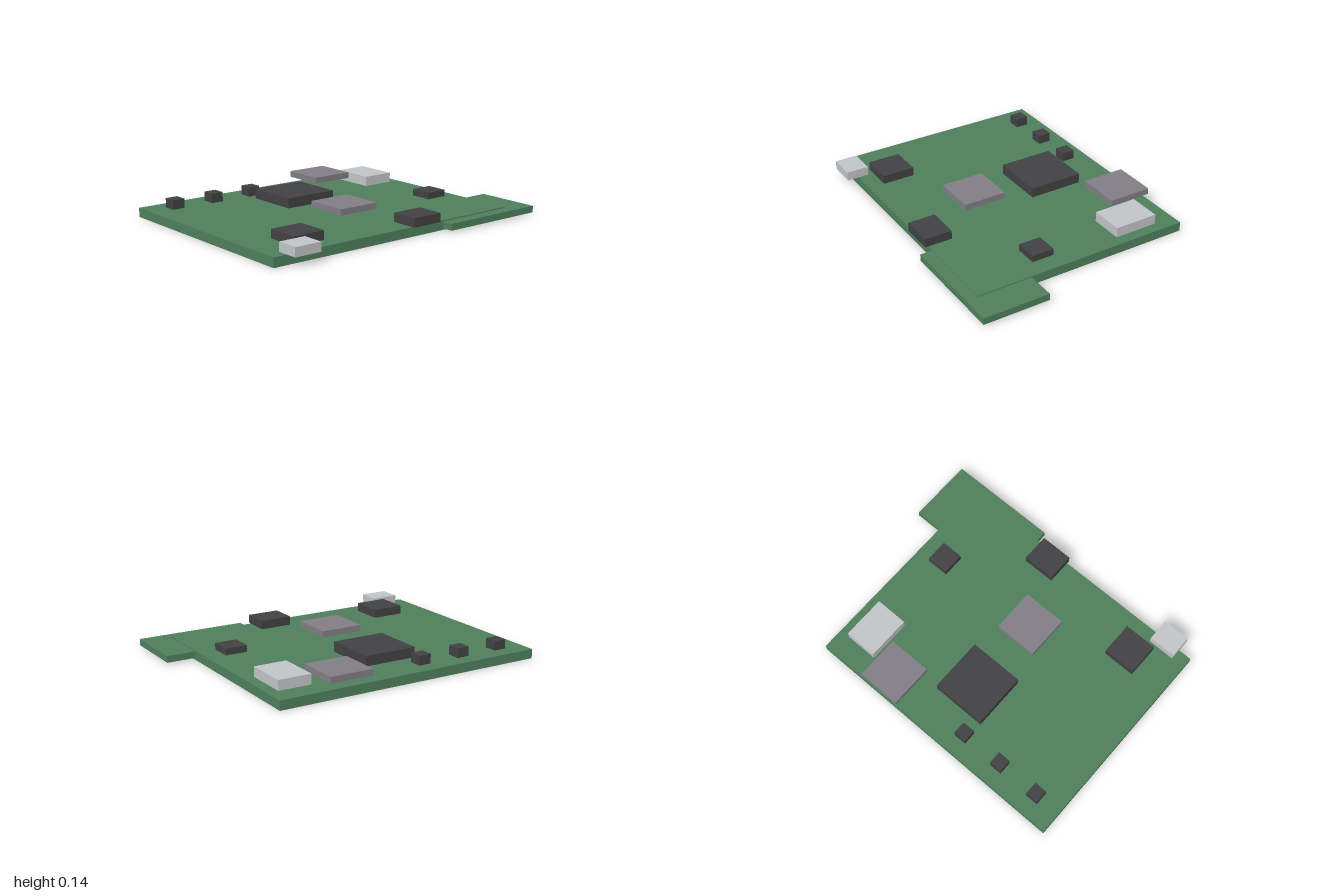
import * as THREE from 'three';

const material = (name, color) => {
  const m = new THREE.MeshStandardMaterial({ color });
  m.name = name;
  return m;
};

export function createModel() {
  const green = material('boardGreen', 0x4e7f5c);
  const black = material('chipBlack', 0x414042);
  const grey = material('shieldGrey', 0x807d84);
  const silver = material('connectorSilver', 0xc2c3c6);

  const model = new THREE.Group();
  model.name = 'circuitBoard';

  // Box given by its extents along each axis
  const block = (name, mat, [x0, x1], [y0, y1], [z0, z1]) => {
    const mesh = new THREE.Mesh(new THREE.BoxGeometry(x1 - x0, y1 - y0, z1 - z0), mat);
    mesh.position.set((x0 + x1) / 2, (y0 + y1) / 2, (z0 + z1) / 2);
    mesh.name = name;
    model.add(mesh);
  };

  // Main board and the thinner card reaching out of its front left corner
  block('mainBoard', green, [-1, 0.813], [0, 0.06], [-0.763, 0.685]);
  block('sideCard', green, [0.27, 1], [0.01, 0.053], [0.326, 0.76]);

  // Processor and secondary chips
  block('processor', black, [-0.275, 0.085], [0.06, 0.125], [-0.51, -0.15]);
  block('rightChip', black, [-0.782, -0.566], [0.06, 0.117], [0.362, 0.577]);
  block('frontChip', black, [0.015, 0.23], [0.06, 0.117], [0.522, 0.704]);
  block('leftChip', black, [0.56, 0.706], [0.068, 0.111], [0.105, 0.252]);

  // Row of small components along the back edge
  for (const x of [-0.82, -0.53, -0.241]) {
    block('smallComponent', black, [x - 0.042, x + 0.042], [0.06, 0.121], [-0.664, -0.578]);
  }

  // Raised metal shields
  block('centreShield', grey, [-0.236, 0.05], [0.098, 0.138], [0.037, 0.323]);
  block('backShield', grey, [0.199, 0.487], [0.098, 0.138], [-0.763, -0.476]);

  // Edge connectors
  block('largeConnector', silver, [0.525, 0.742], [0.06, 0.125], [-0.62, -0.33]);
  block('smallConnector', silver, [-0.91, -0.73], [0.06, 0.118], [0.612, 0.76]);

  return model;
}
